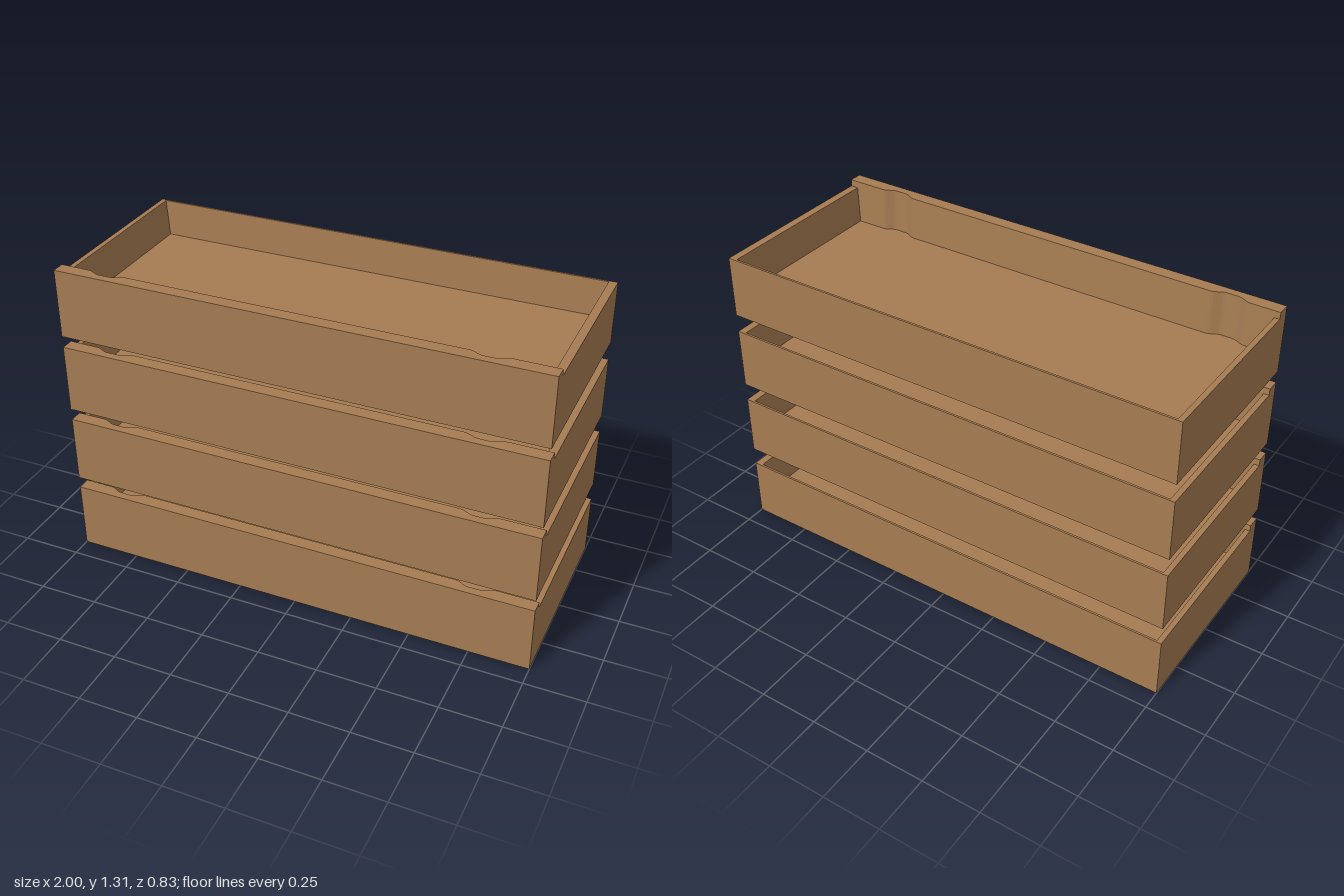
import * as THREE from 'three';

const TRAYS = 4, PITCH = 0.339, FLOOR = 0.11, WALL = 0.262, LIP = 0.29;
const HALF_X = 1, HALF_Z = 0.415;

// Solid between two matching outlines of [x, z] points at heights y0 and y1
function loft(lower, upper, y0, y1) {
  let a = lower.map(([x, z]) => new THREE.Vector2(x, z));
  let b = upper.map(([x, z]) => new THREE.Vector2(x, z));
  if (THREE.ShapeUtils.isClockWise(a)) { a.reverse(); b.reverse(); }
  const pos = [];
  const low = (i) => pos.push(a[i].x, y0, a[i].y);
  const top = (i) => pos.push(b[i].x, y1, b[i].y);
  for (let i = 0; i < a.length; i++) {
    const j = (i + 1) % a.length;
    low(i); top(i); top(j);
    low(i); top(j); low(j);
  }
  for (const [i, j, k] of THREE.ShapeUtils.triangulateShape(a, [])) {
    low(i); low(j); low(k);
    top(i); top(k); top(j);
  }
  const geometry = new THREE.BufferGeometry();
  geometry.setAttribute('position', new THREE.Float32BufferAttribute(pos, 3));
  geometry.computeVertexNormals();
  return geometry;
}

const rect = (x0, x1, z0, z1) => [[x0, z0], [x1, z0], [x1, z1], [x0, z1]];

// Front panel outline with two shallow rounded recesses on its inner face
function frontOutline(innerZ) {
  const points = [[HALF_X, HALF_Z], [-HALF_X, HALF_Z], [-HALF_X, innerZ]];
  for (const centre of [-0.797, 0.747]) {
    for (let i = 0; i <= 14; i++) {
      const t = i / 7 - 1;
      const depth = 0.021 * (1 - THREE.MathUtils.smoothstep(Math.abs(t), 0.3, 1));
      points.push([centre + t * 0.08, innerZ + depth]);
    }
  }
  points.push([HALF_X, innerZ]);
  return points;
}

export function createModel() {
  const wood = new THREE.MeshStandardMaterial({ color: 0xa67c52 });
  wood.name = 'wood brown';

  // Inner faces lean outwards slightly from the floor to the rim
  const parts = {
    base: new THREE.BoxGeometry(2 * HALF_X, FLOOR, 2 * HALF_Z).translate(0, FLOOR / 2, 0),
    backWall: loft(rect(-1, 1, -HALF_Z, -0.399), rect(-1, 1, -HALF_Z, -0.406), FLOOR, WALL),
    rightWall: loft(rect(-1, -0.963, -HALF_Z, 0.362), rect(-1, -0.978, -HALF_Z, 0.362), FLOOR, WALL),
    leftWall: loft(rect(0.953, 1, -HALF_Z, 0.362), rect(0.966, 1, -HALF_Z, 0.362), FLOOR, WALL),
    frontPanel: loft(frontOutline(0.348), frontOutline(0.359), FLOOR, LIP),
  };

  const model = new THREE.Group();
  model.name = 'trayStack';
  for (let i = 0; i < TRAYS; i++) {
    const tray = new THREE.Group();
    tray.name = `tray${i + 1}`;
    tray.position.y = i * PITCH;
    for (const [name, geometry] of Object.entries(parts)) {
      const mesh = new THREE.Mesh(geometry, wood);
      mesh.name = name;
      tray.add(mesh);
    }
    model.add(tray);
  }
  return model;
}
